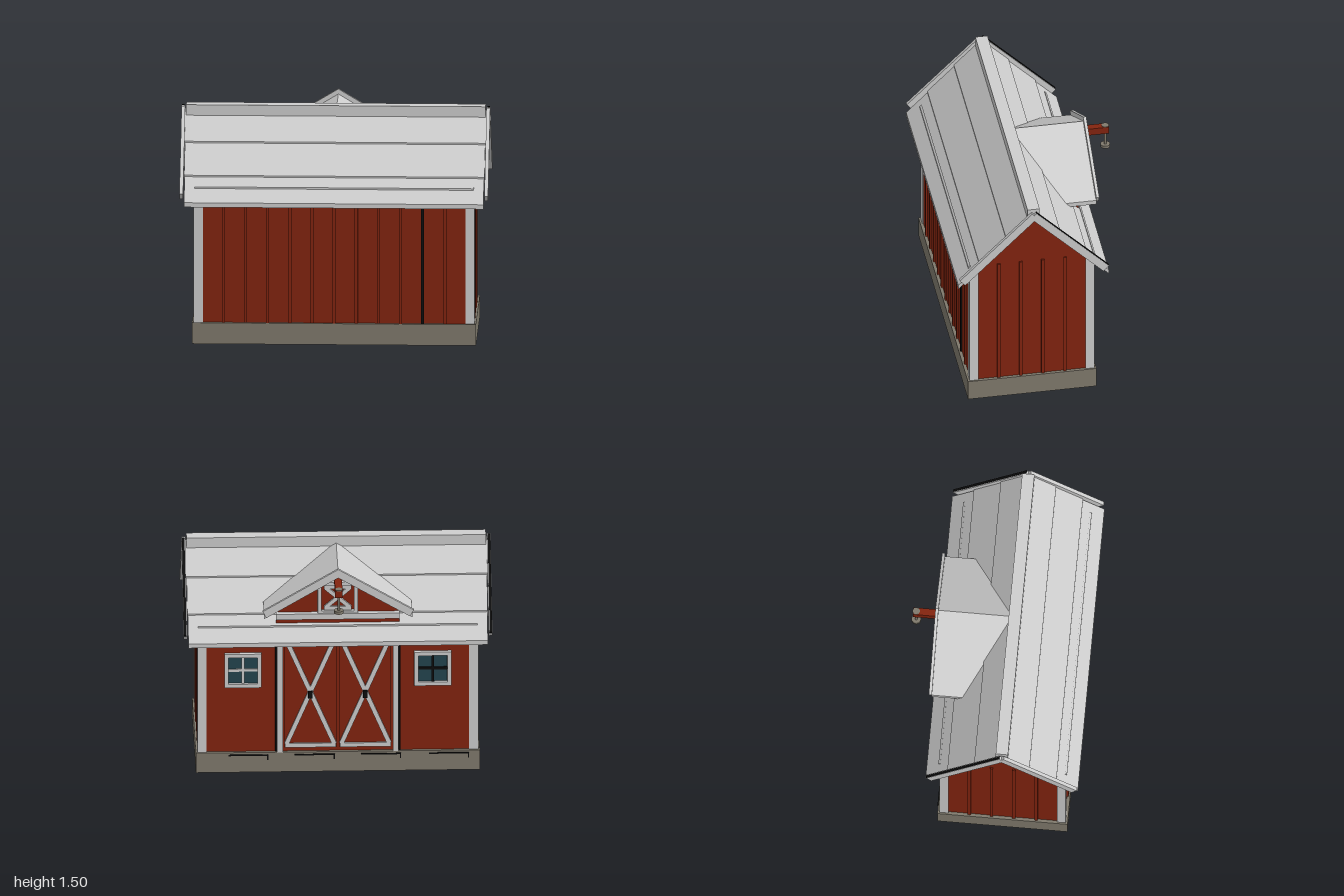
import * as THREE from 'three';

export function createModel() {
  const model = new THREE.Group();
  model.name = 'barn';
  const paint = (name, color) => {
    const m = new THREE.MeshStandardMaterial({ color });
    m.name = name;
    return m;
  };
  const red = paint('barn red', 0x83240f);
  const grey = paint('light grey', 0xcecece);
  const stone = paint('stone', 0x807a6d);
  const black = paint('black', 0x0d0d0d);
  const glass = paint('dark teal glass', 0x24454f);

  const add = (name, geo, mat, parent = model) => {
    const mesh = new THREE.Mesh(geo, mat);
    mesh.name = name;
    parent.add(mesh);
    return mesh;
  };
  // Box given by its two extreme corners
  const box = (name, mat, x0, x1, y0, y1, z0, z1) => {
    const m = add(name, new THREE.BoxGeometry(x1 - x0, y1 - y0, z1 - z0), mat);
    m.position.set((x0 + x1) / 2, (y0 + y1) / 2, (z0 + z1) / 2);
    return m;
  };
  const outline = (pts) => new THREE.Shape(pts.map((p) => new THREE.Vector2(p[0], p[1])));
  // Outline in (x, y), drawn out along z
  const prismZ = (name, mat, pts, z0, z1) => {
    const g = new THREE.ExtrudeGeometry(outline(pts), { depth: z1 - z0, bevelEnabled: false });
    return add(name, g.translate(0, 0, z0), mat);
  };
  // Outline in (z, y), drawn out along x
  const prismX = (name, mat, pts, x0, x1) => {
    const g = new THREE.ExtrudeGeometry(outline(pts), { depth: x1 - x0, bevelEnabled: false });
    return add(name, g.rotateY(-Math.PI / 2).translate(x1, 0, 0), mat);
  };
  // Flat bar between two points on the back wall
  const bar = (name, mat, xa, ya, xb, yb, w, z0, z1) => {
    const g = new THREE.BoxGeometry(Math.hypot(xb - xa, yb - ya), w, z1 - z0);
    const m = add(name, g, mat);
    m.position.set((xa + xb) / 2, (ya + yb) / 2, (z0 + z1) / 2);
    m.rotation.z = Math.atan2(yb - ya, xb - xa);
  };
  // Rectangular frame on the back wall
  const frame = (name, x0, x1, y0, y1, w, z0, z1) => {
    for (const y of [y0, y1 - w]) box(name, grey, x0, x1, y, y + w, z0, z1);
    for (const x of [x0, x1 - w]) box(name, grey, x, x + w, y0 + w, y1 - w, z0, z1);
  };
  const C = 0.0875; // z of the ridge
  const about = (s, pts) => pts.map(([d, y]) => [C + s * d, y]);

  // Foundation and body
  box('foundation', stone, -0.92, 0.92, 0, 0.14, -0.335, 0.51);
  prismX('walls', red, about(1, [[-0.402, 0.14], [0.402, 0.14], [0.402, 1.015], [0, 1.417], [-0.402, 1.015]]), -0.9, 0.9);

  // Battens
  for (let i = -5; i <= 5; i++) {
    const x = i * 0.1435;
    box('frontBatten', i === 4 ? black : red, x - 0.01, x + 0.01, 0.14, 1.0, 0.485, 0.5);
  }
  for (const s of [-1, 1]) {
    for (let i = 0; i < 4; i++) {
      const z = 0.305 - i * 0.145;
      const b = box('gableBatten', red, -0.008, 0.008, 0.14, 1.045, z - 0.01, z + 0.01);
      b.position.x = s * 0.902;
    }
  }

  // Corner boards, roof slopes and gable rakes, mirrored about the ridge
  for (const s of [1, -1]) {
    const slope = (name, end, lift, mat, x) =>
      prismX(name, mat, about(s, [[0, 1.45 + lift], [end, 1.45 + lift - end], [end, 1.42 - end], [0, 1.42]]), -x, x);
    slope('roofLowerCourse', 0.495, 0, grey, 0.97);
    slope('roofMiddleCourse', 0.355, 0.01, grey, 0.973);
    slope('roofTopCourse', 0.18, 0.02, grey, 0.976);
    prismX('snowGuard', grey, about(s, [[0.405, 1.04], [0.405, 1.056], [0.418, 1.043], [0.418, 1.03]]), -0.905, 0.905);

    for (const e of [-1, 1]) {
      const span = (a, b) => (e > 0 ? [a, b] : [-b, -a]);
      prismX('cornerBoard', grey, about(s, [[0.353, 0.14], [0.41, 0.14], [0.41, 1.01], [0.353, 1.067]]), ...span(0.85, 0.91));
      prismX('gableRake', grey, about(s, [[0, 1.47], [0.015, 1.485], [0.49, 1.01], [0.455, 0.97], [0, 1.425]]), ...span(0.976, 1));
      if (s < 0) {
        prismX('rakeCap', black, about(s, [[0.012, 1.485], [0.012, 1.492], [0.49, 1.014], [0.49, 1.007]]), ...span(0.982, 0.998));
      }
    }
  }
  box('ridgeCap', grey, -0.97, 0.97, 1.42, 1.5, C - 0.04, C + 0.04);

  // Dormer over the doors
  prismZ('dormerWall', red, [[-0.4, 1.04], [0.4, 1.04], [0.4, 1.18], [0, 1.42], [-0.4, 1.18]], -0.31, 0.07);
  box('dormerSill', grey, -0.4, 0.4, 1.09, 1.13, -0.345, -0.3);
  for (const s of [-1, 1]) {
    const flip = (pts) => pts.map(([x, y]) => [s * x, y]);
    prismZ('dormerRoof', grey, flip([[0, 1.452], [0.48, 1.16], [0.48, 1.13], [0, 1.42]]), -0.412, C);
    prismZ('dormerBargeBoard', grey, flip([[0, 1.485], [0.49, 1.19], [0.465, 1.145], [0, 1.425]]), -0.43, -0.41);
  }

  // Loft hatch
  frame('hatchFrame', -0.13, 0.13, 1.12, 1.35, 0.025, -0.335, -0.305);
  for (const s of [-1, 1]) {
    bar('hatchBrace', grey, -0.08, 1.235 - s * 0.07, 0.08, 1.235 + s * 0.07, 0.026, -0.325, -0.305);
    bar('hatchRail', grey, -0.09, 1.235 + s * 0.075, 0.09, 1.235 + s * 0.075, 0.025, -0.326, -0.305);
  }

  // Hoist
  box('hoistBeam', red, -0.024, 0.024, 1.35, 1.4, -0.575, -0.3);
  const disc = (name, mat, r, y, h) => {
    add(name, new THREE.CylinderGeometry(r, r, h, 16), mat).position.set(0, y, -0.555);
  };
  disc('hoistCap', stone, 0.024, 1.401, 0.006);
  disc('hoistRod', stone, 0.008, 1.3, 0.11);
  disc('hoistWeight', stone, 0.031, 1.245, 0.02);

  // Double doors with cross braces
  for (const s of [-1, 1]) {
    const cx = s * 0.178, hw = 0.155;
    box('doorLeaf', red, cx - 0.168, cx + 0.168, 0.17, 0.97, -0.33, -0.31);
    for (const t of [-1, 1]) {
      bar('doorBrace', grey, cx - hw, 0.57 - t * 0.37, cx + hw, 0.57 + t * 0.37, 0.03, -0.342, -0.325);
      bar('doorRail', grey, cx - hw - 0.01, 0.57 + t * 0.38, cx + hw + 0.01, 0.57 + t * 0.38, 0.028, -0.343, -0.325);
    }
    box('doorLatch', black, cx - 0.014, cx + 0.014, 0.53, 0.58, -0.357, -0.34);
    box('doorPost', grey, s * 0.375 - 0.018, s * 0.375 + 0.018, 0.14, 0.99, -0.34, -0.31);
    box('postShadowGap', black, s * 0.4 - 0.005, s * 0.4 + 0.005, 0.14, 0.99, -0.325, -0.31);
  }

  // Windows
  for (const s of [-1, 1]) {
    const cx = s * 0.615, cy = 0.725;
    const muntin = s > 0 ? grey : black;
    frame('windowFrame', cx - 0.12, cx + 0.12, cy - 0.12, cy + 0.12, 0.026, -0.34, -0.31);
    box('windowPane', glass, cx - 0.1, cx + 0.1, cy - 0.1, cy + 0.1, -0.321, -0.313);
    box('windowMuntin', muntin, cx - 0.009, cx + 0.009, cy - 0.095, cy + 0.095, -0.33, -0.32);
    box('windowMuntin', muntin, cx - 0.095, cx + 0.095, cy - 0.009, cy + 0.009, -0.329, -0.32);
  }

  // Thin iron straps along the back of the foundation
  for (const x of [-0.72, -0.28, 0.15, 0.58]) {
    box('foundationStrap', black, x - 0.13, x + 0.13, 0.118, 0.126, -0.341, -0.334);
    box('foundationStrapEnd', black, x - 0.13, x - 0.122, 0.09, 0.126, -0.342, -0.334);
  }
  return model;
}
